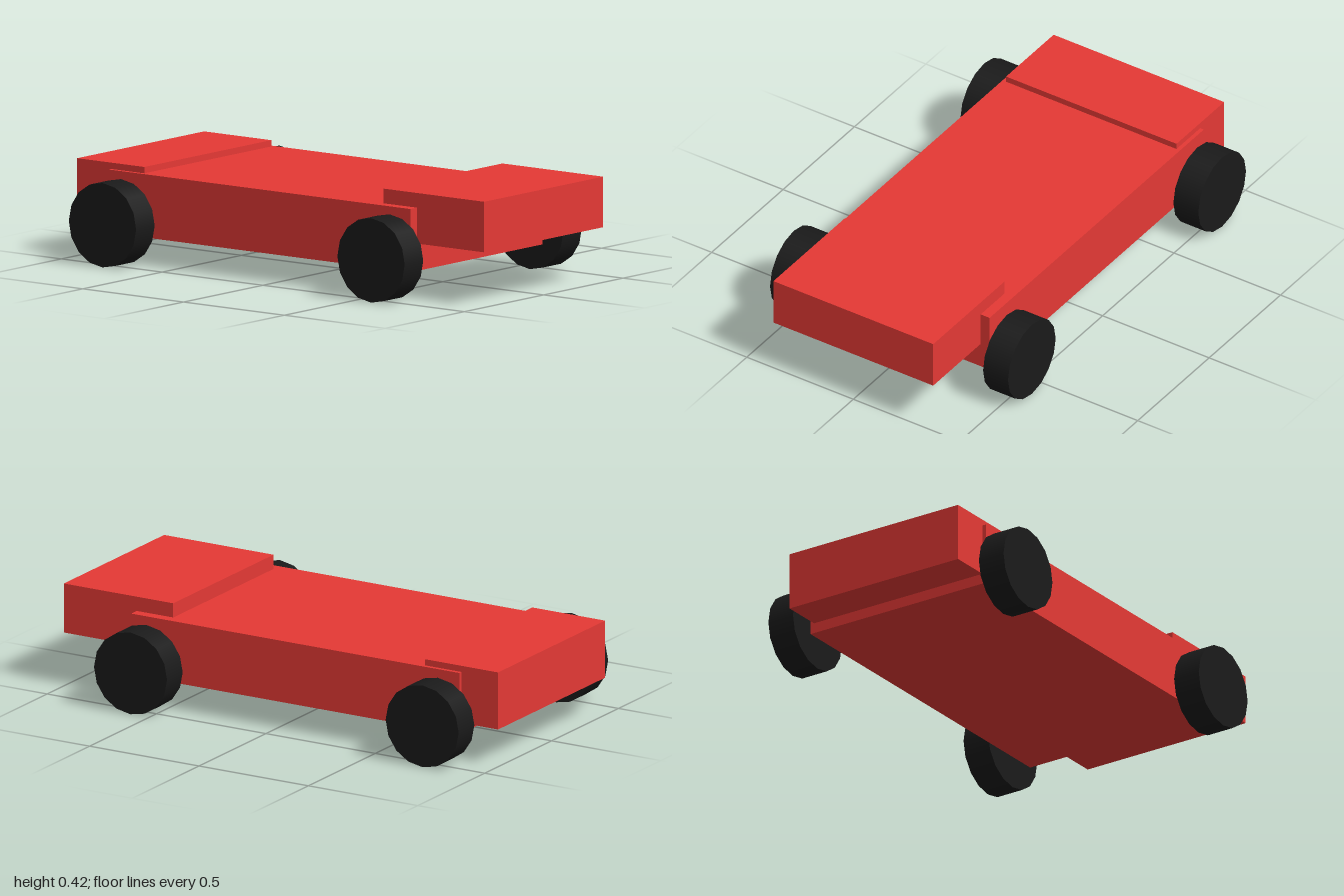
import * as THREE from 'three';

export function createModel() {
  const car = new THREE.Group();
  car.name = 'car';
  const paint = new THREE.MeshStandardMaterial({ color: 0xe53935 });
  const rubber = new THREE.MeshStandardMaterial({ color: 0x1a1a1a });

  // Box centred on x = 0, given its width and its y and z ranges
  const addBox = (name, width, [y0, y1], [z0, z1]) => {
    const mesh = new THREE.Mesh(new THREE.BoxGeometry(width, y1 - y0, z1 - z0), paint);
    mesh.position.set(0, (y0 + y1) / 2, (z0 + z1) / 2);
    mesh.name = name;
    car.add(mesh);
  };

  // Bodywork
  addBox('chassis', 0.833, [0.11, 0.36], [-0.833, 0.667]);
  addBox('hood', 0.75, [0.218, 0.418], [0.5, 1]);
  addBox('rearDeck', 0.8, [0.152, 0.385], [-1, -0.667]);

  // Four wheels with their axles along x
  const radius = 0.167;
  const wheelGeometry = new THREE.CylinderGeometry(radius, radius, 0.117, 16).rotateZ(Math.PI / 2);
  for (const [end, z] of [['front', 0.583], ['rear', -0.75]]) {
    for (const [side, x] of [['Left', 0.5], ['Right', -0.5]]) {
      const wheel = new THREE.Mesh(wheelGeometry, rubber);
      wheel.position.set(x, radius, z);
      wheel.name = `${end}${side}Wheel`;
      car.add(wheel);
    }
  }
  return car;
}
